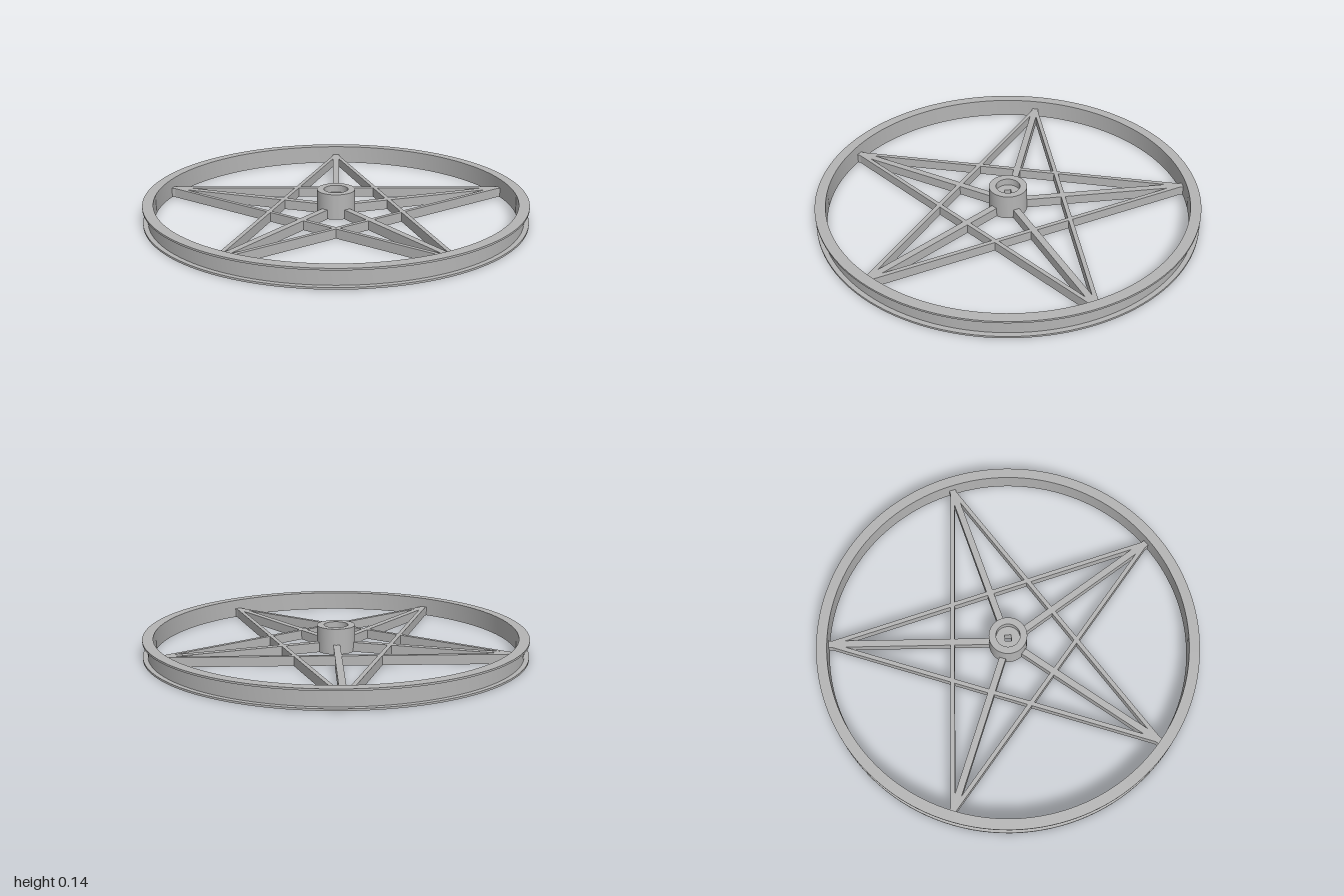
import * as THREE from 'three';
import { toCreasedNormals } from 'three/addons/utils/BufferGeometryUtils.js';

const grey = new THREE.MeshStandardMaterial({ color: 0xb4b4b4 });
grey.name = 'grey';

export function createModel() {
  const model = new THREE.Group();
  model.name = 'spokedWheel';

  const add = (geometry, name) => {
    const mesh = new THREE.Mesh(geometry, grey);
    mesh.name = name;
    model.add(mesh);
    return mesh;
  };
  // Closed [radius, height] profile, listed upwards along its outer side
  const ring = (profile, segments) => {
    const points = [...profile, profile[0]].map(([r, y]) => new THREE.Vector2(r, y));
    return toCreasedNormals(new THREE.LatheGeometry(points, segments), 0.6);
  };

  // Rim with a groove between two thin flanges
  add(ring([
    [0.945, 0], [1, 0], [1, 0.01], [0.975, 0.01],
    [0.975, 0.09], [1, 0.09], [1, 0.1], [0.945, 0.1],
  ], 128), 'rim');

  // Hub sleeve
  add(ring([[0.063, 0], [0.1, 0], [0.1, 0.135], [0.063, 0.135]], 64), 'hub');

  // Web inside the hub with a square shaft hole
  const web = new THREE.Shape().absarc(0, 0, 0.064, 0, Math.PI * 2);
  const s = 0.017;
  web.holes.push(new THREE.Path().moveTo(-s, -s).lineTo(-s, s).lineTo(s, s).lineTo(s, -s).closePath());
  const webGeometry = new THREE.ExtrudeGeometry(web, { depth: 0.06, bevelEnabled: false, curveSegments: 32 });
  webGeometry.rotateX(-Math.PI / 2).translate(0, 0.038, 0);
  add(webGeometry, 'hubWeb');

  // Five radial spokes and the five bars of the star
  const R = 0.945, height = 0.05;
  const chord = 2 * R * Math.sin(Math.PI * 2 / 5);
  for (let i = 0; i < 5; i++) {
    const angle = i * Math.PI * 2 / 5;
    const spoke = new THREE.BoxGeometry(0.035, height, R - 0.09);
    spoke.translate(0, height / 2, -(R + 0.09) / 2).rotateY(angle);
    add(spoke, 'spoke');

    const bar = new THREE.BoxGeometry(chord, height, 0.022);
    bar.translate(0, height / 2, -R * Math.cos(Math.PI * 2 / 5)).rotateY(angle);
    add(bar, 'starBar');
  }
  return model;
}
